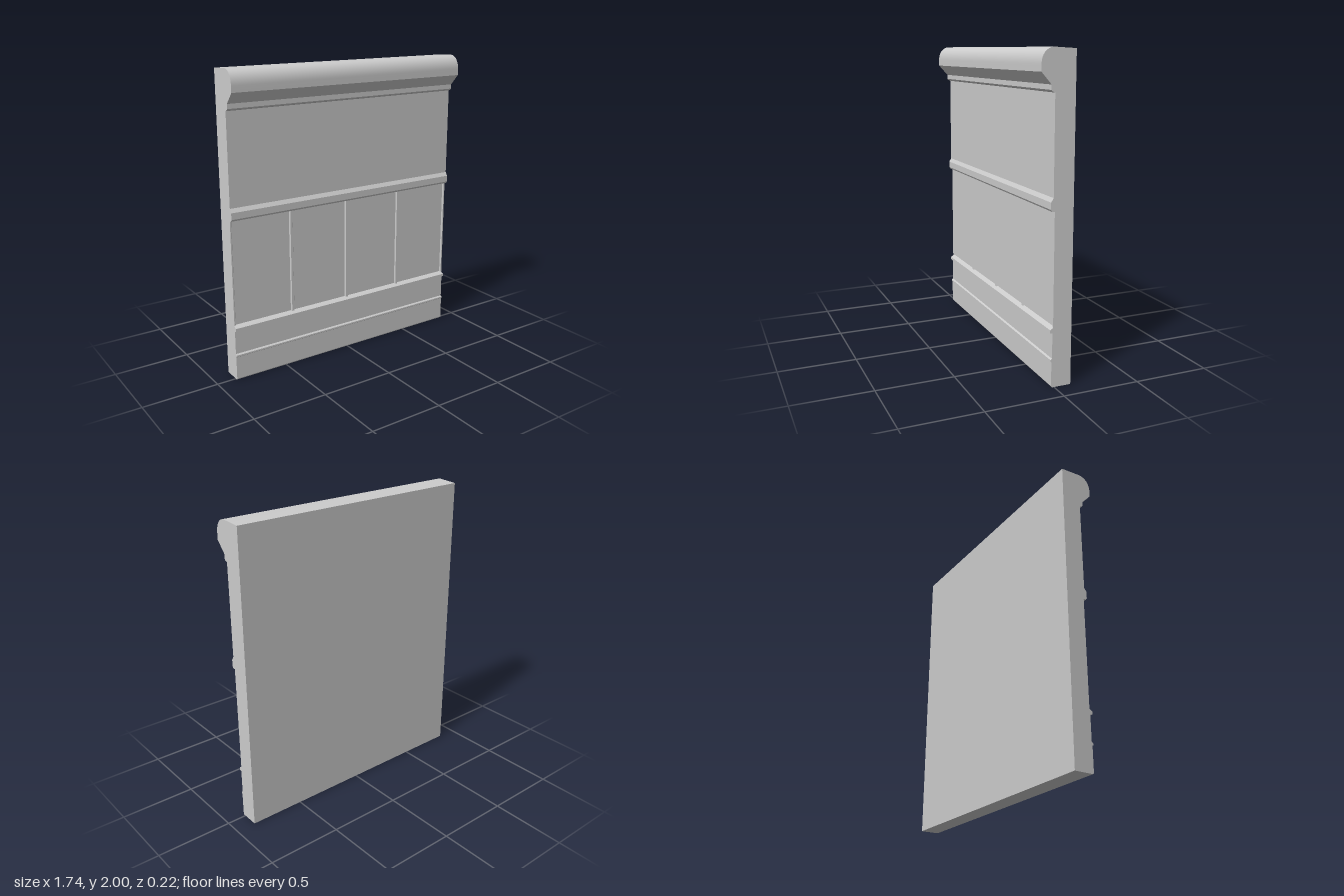
import * as THREE from 'three';
import { toCreasedNormals } from 'three/addons/utils/BufferGeometryUtils.js';

const WIDTH = 1.74;
const BACK = -0.11;
const PANEL = 0.003; // front plane of the sunken panels

export function createModel() {
  const group = new THREE.Group();
  const material = new THREE.MeshStandardMaterial({ color: 0xcccccc });

  const add = (name, geometry) => {
    const mesh = new THREE.Mesh(toCreasedNormals(geometry, 0.5), material);
    mesh.name = name;
    group.add(mesh);
    return mesh;
  };

  // Sweeps a (z, y) shape across the full width
  const sweep = (name, shape) => {
    const geometry = new THREE.ExtrudeGeometry(shape, { depth: WIDTH, bevelEnabled: false, curveSegments: 14 });
    geometry.rotateY(-Math.PI / 2).translate(WIDTH / 2, 0, 0);
    return add(name, geometry);
  };

  // A band of wall: front outline from bottom to top, closed along the flat back
  const band = (name, front) => {
    const [bottom, top] = [front[0][1], front[front.length - 1][1]];
    const outline = [[BACK, bottom], ...front, [BACK, top]];
    return sweep(name, new THREE.Shape(outline.map(([z, y]) => new THREE.Vector2(z, y))));
  };

  // Skirting with a small bead, and the sill below the panels
  band('skirting', [
    [0.014, 0], [0.02, 0.008], [0.02, 0.16], [0.026, 0.165],
    [0.026, 0.175], [0.016, 0.183], [0.016, 0.34],
  ]);
  band('panelSill', [[0.016, 0.34], [0.031, 0.345], [0.031, 0.363], [0.015, 0.373], [PANEL, 0.38]]);

  // Sunken panel zone and the rail above it
  band('panelWall', [[PANEL, 0.38], [PANEL, 1.075]]);
  band('middleRail', [
    [PANEL, 1.075], [0.028, 1.075], [0.036, 1.087], [0.036, 1.13], [0.022, 1.152], [0.02, 1.155],
  ]);

  // Plain upper wall
  band('upperWall', [[0.02, 1.155], [0.02, 1.75]]);

  // Rounded coping with a slanted underside
  const coping = new THREE.Shape();
  coping.moveTo(BACK, 1.75);
  coping.lineTo(0.02, 1.75);
  coping.lineTo(0.037, 1.757);
  coping.lineTo(0.043, 1.765);
  coping.lineTo(0.043, 1.795);
  coping.lineTo(0.107, 1.865);
  coping.lineTo(0.107, 1.905);
  coping.bezierCurveTo(0.107, 1.96, 0.075, 2, 0.025, 2);
  coping.lineTo(BACK, 1.992);
  coping.closePath();
  sweep('coping', coping);

  // Bevelled upright battens, with half battens at both ends
  for (let i = -2; i <= 2; i++) {
    const x = i * WIDTH / 4;
    const limit = (v) => THREE.MathUtils.clamp(v, -WIDTH / 2, WIDTH / 2);
    const points = [[-0.014, PANEL - 0.02], [0.014, PANEL - 0.02], [0.014, PANEL], [0.008, 0.012], [-0.008, 0.012], [-0.014, PANEL]]
      .map(([dx, z]) => new THREE.Vector2(limit(x + dx), -z));
    const geometry = new THREE.ExtrudeGeometry(new THREE.Shape(points), { depth: 0.7, bevelEnabled: false });
    geometry.rotateX(-Math.PI / 2).translate(0, 0.376, 0);
    add('batten', geometry);
  }

  return group;
}
